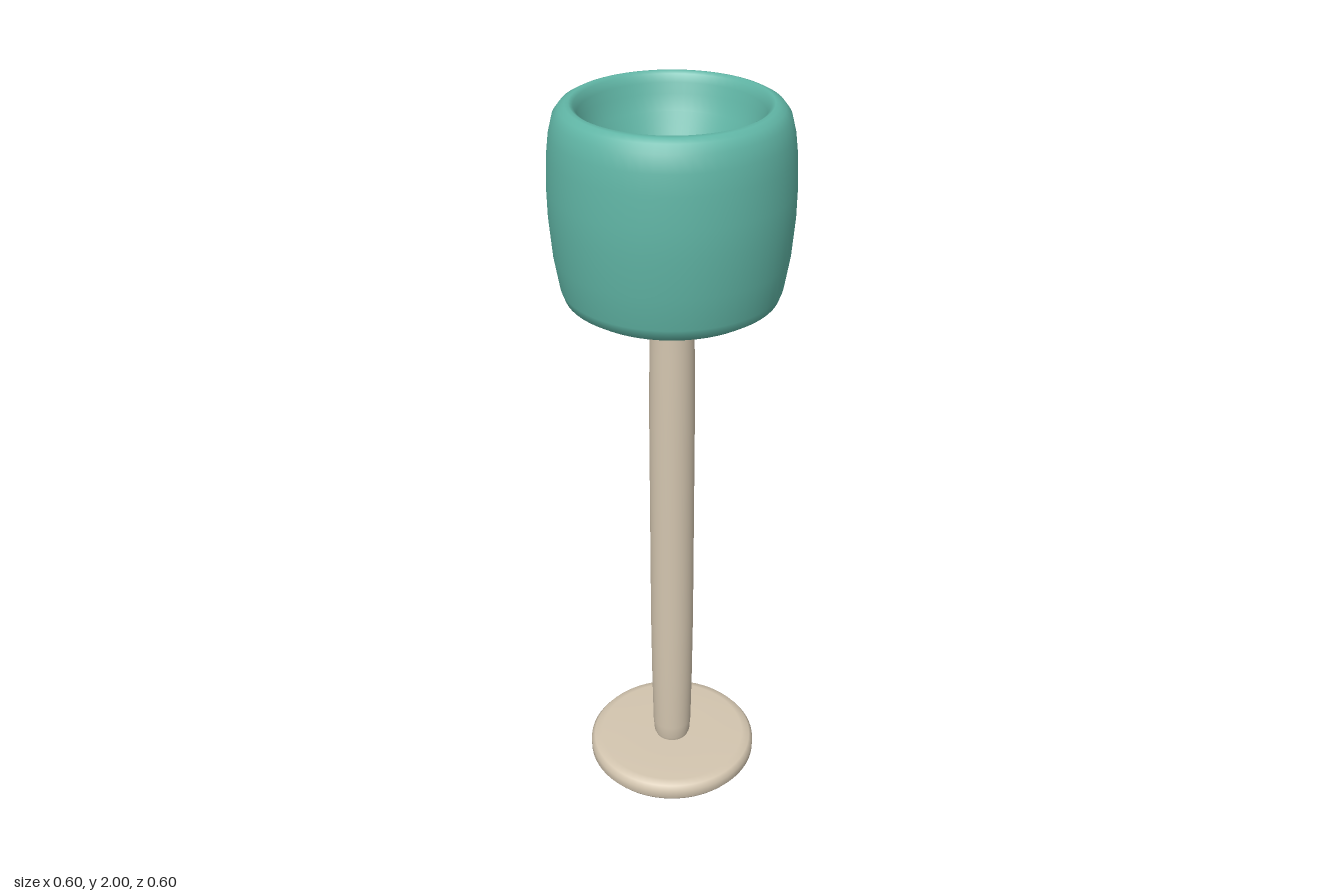
import * as THREE from 'three';

const SEGMENTS = 64;

// Surface of revolution from [radius, height] pairs, listed from the bottom outwards and up
function turned(name, points, material) {
  const profile = points.map(([r, y]) => new THREE.Vector2(r, y));
  const mesh = new THREE.Mesh(new THREE.LatheGeometry(profile, SEGMENTS), material);
  mesh.name = name;
  return mesh;
}

export function createModel() {
  const model = new THREE.Group();
  model.name = 'pedestalCup';

  const teal = new THREE.MeshStandardMaterial({ color: 0x60b5a5 });
  teal.name = 'teal';
  const tan = new THREE.MeshStandardMaterial({ color: 0xd3c5af });
  tan.name = 'warm beige';

  // Round foot with softened edges and a faintly domed underside
  model.add(turned('foot', [
    [0, 0], [0.1, 0.002], [0.21, 0.006], [0.232, 0.011], [0.242, 0.024],
    [0.242, 0.048], [0.232, 0.061], [0.21, 0.067], [0.1, 0.068], [0, 0.068],
  ], tan));

  // Slim stem, slightly fuller through the middle
  model.add(turned('stem', [
    [0.044, 0.06], [0.052, 0.08], [0.055, 0.12], [0.058, 0.29],
    [0.06, 0.5], [0.06, 1.15], [0.058, 1.35], [0.056, 1.48], [0.059, 1.62],
  ], tan));

  // Flat end of the stem, showing at the bottom of the bowl
  model.add(turned('stemTop', [[0.059, 1.62], [0, 1.62]], tan));

  // Thick-walled cup: rounded outside, conical hollow inside
  model.add(turned('cup', [
    [0, 1.5], [0.2, 1.5], [0.245, 1.505], [0.268, 1.52], [0.277, 1.545],
    [0.291, 1.63], [0.299, 1.73], [0.3, 1.8], [0.296, 1.88], [0.29, 1.93],
    [0.28, 1.97], [0.265, 1.99], [0.25, 1.998], [0.24, 2.0], [0.23, 1.994],
    [0.222, 1.975], [0.215, 1.95], [0.2, 1.91], [0.05, 1.6], [0, 1.51],
  ], teal));

  return model;
}
